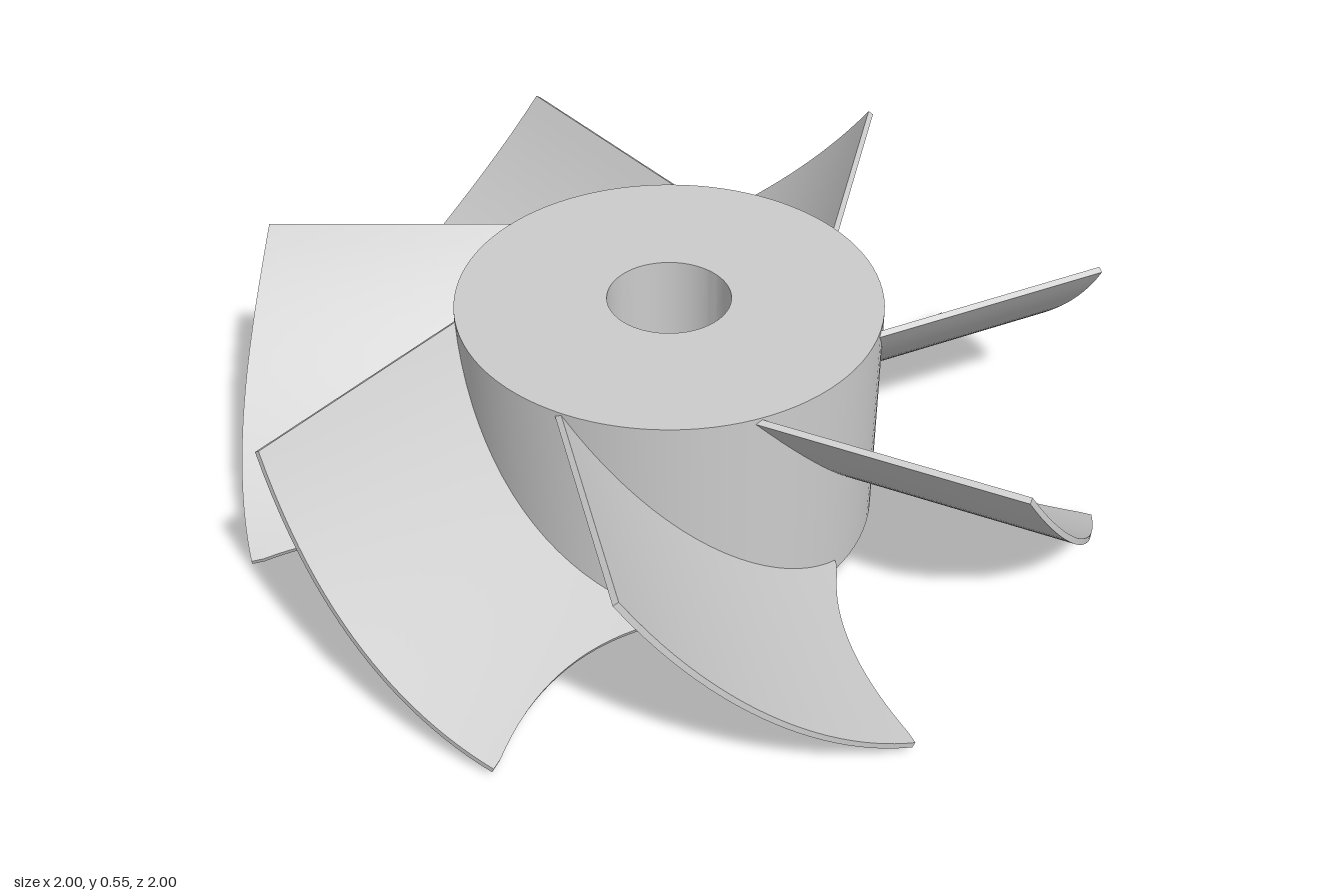
import * as THREE from 'three';
import { toCreasedNormals } from 'three/addons/utils/BufferGeometryUtils.js';

const HUB_R = 0.482, TIP_R = 0.998, BLADES = 7;
const LEAD = -0.32, TRAIL = 0.298;            // chord positions of the top and bottom edges
const ARC = { r: 1.464, v: 0.894, y: 1.362 }; // circle that curves the blade section
const HALF_THICK = 0.007;

// Trailing edge is scooped inwards along the span
function trailAt(s) {
  const k = (s - 0.67) / 0.27;
  return TRAIL - 0.055 * Math.max(0, 1 - k * k);
}

// Point on the blade: t along the chord, f along the span, o offset through the thickness
function bladePoint(t, f, o) {
  let s = 0.7, v = 0;
  for (let k = 0; k < 12; k++) {
    v = LEAD + t * (trailAt(s) - LEAD);
    const inner = Math.sqrt((HUB_R - 0.015) ** 2 - v * v);
    const outer = Math.sqrt(TIP_R ** 2 - v * v);
    s = inner + f * (outer - inner);
  }
  const sin = (ARC.v - v) / ARC.r, cos = Math.sqrt(1 - sin * sin);
  return [s, ARC.y - ARC.r * cos + o * cos, -(v + o * sin)];
}

// Curved sheet with thickness: rings around the section, joined along the span
function bladeGeometry(n = 24, m = 20) {
  const pos = [], idx = [], ring = 2 * (n + 1);
  for (let j = 0; j <= m; j++) {
    for (let i = 0; i <= n; i++) pos.push(...bladePoint(i / n, j / m, HALF_THICK));
    for (let i = n; i >= 0; i--) pos.push(...bladePoint(i / n, j / m, -HALF_THICK));
  }
  const quad = (a, b, c, d) => idx.push(a, b, c, a, c, d);
  for (let j = 0; j < m; j++) {
    for (let i = 0; i < ring; i++) {
      const k = (i + 1) % ring;
      quad(j * ring + i, (j + 1) * ring + i, (j + 1) * ring + k, j * ring + k);
    }
  }
  // Tip face
  const e = m * ring;
  for (let i = 0; i < n; i++) quad(e + i, e + ring - 1 - i, e + ring - 2 - i, e + i + 1);
  const g = new THREE.BufferGeometry();
  g.setAttribute('position', new THREE.Float32BufferAttribute(pos, 3));
  g.setIndex(idx);
  return toCreasedNormals(g, 0.6);
}

export function createModel() {
  const model = new THREE.Group();
  model.name = 'impeller';
  const material = new THREE.MeshStandardMaterial({ color: 0xcccccc });

  // Hub with a blind bore from the top
  const profile = [[0, 0], [HUB_R, 0], [HUB_R, 0.553], [0.14, 0.553], [0.14, 0.05], [0, 0.05]]
    .map(([x, y]) => new THREE.Vector2(x, y));
  const hub = new THREE.Mesh(toCreasedNormals(new THREE.LatheGeometry(profile, 96), 0.6), material);
  hub.name = 'hub';
  hub.position.z = -0.004;
  model.add(hub);

  // Blades
  const blades = new THREE.Group();
  blades.name = 'blades';
  blades.position.z = -0.004;
  const geometry = bladeGeometry();
  for (let k = 0; k < BLADES; k++) {
    const blade = new THREE.Mesh(geometry, material);
    blade.name = `blade${k + 1}`;
    blade.rotation.y = -THREE.MathUtils.degToRad(185.8 + (k * 360) / BLADES);
    blades.add(blade);
  }
  model.add(blades);
  return model;
}
